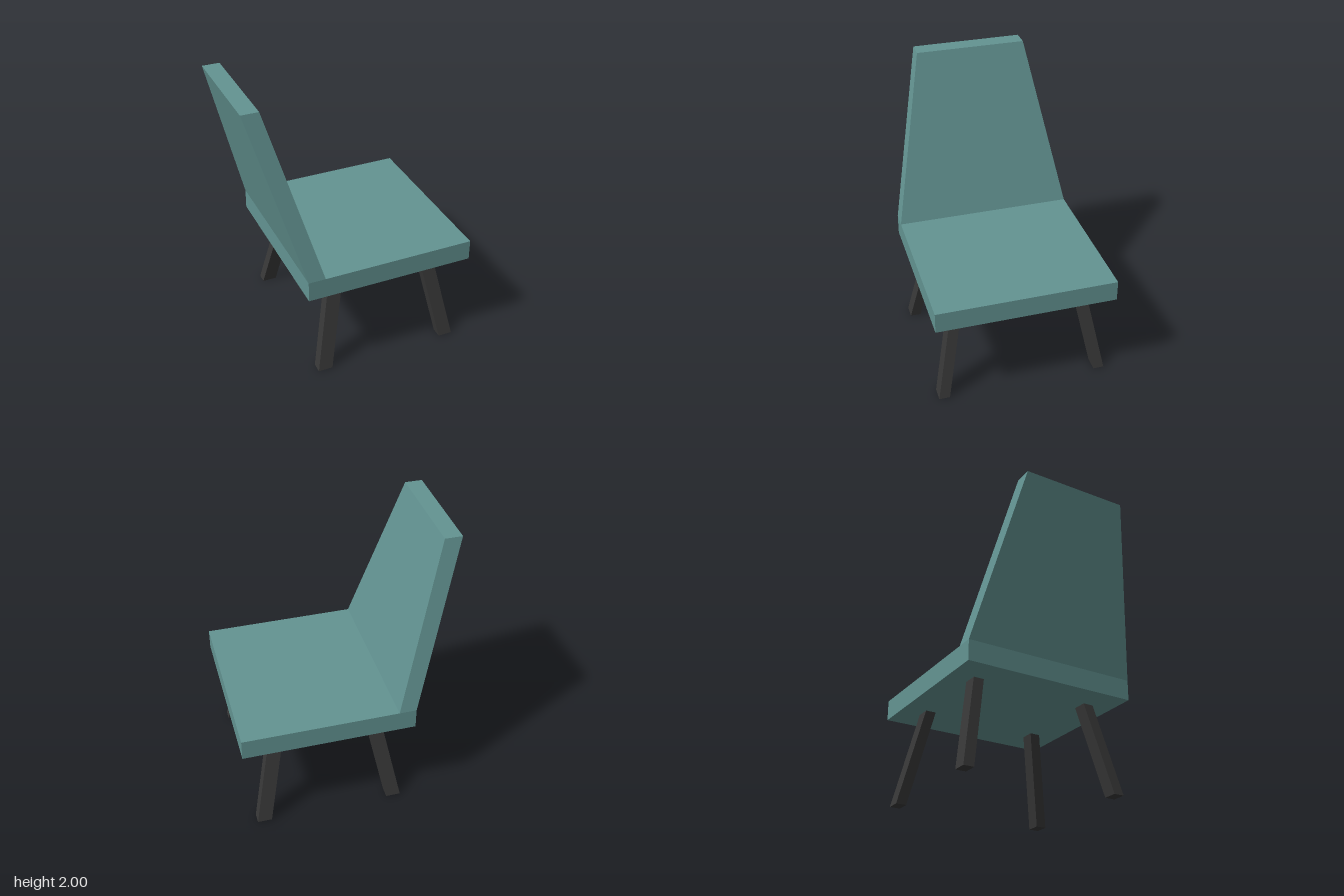
import * as THREE from 'three';

const fabric = new THREE.MeshStandardMaterial({ color: 0x639492, flatShading: true });
const darkWood = new THREE.MeshStandardMaterial({ color: 0x383838, flatShading: true });

// Six-sided block between two horizontal rectangles, each given as { y, x: [min, max], z: [min, max] }
function block(name, material, bottom, top) {
  const geometry = new THREE.BoxGeometry(1, 1, 1);
  const p = geometry.attributes.position;
  for (let i = 0; i < p.count; i++) {
    const end = p.getY(i) > 0 ? top : bottom;
    p.setXYZ(i, end.x[p.getX(i) > 0 ? 1 : 0], end.y, end.z[p.getZ(i) > 0 ? 1 : 0]);
  }
  geometry.computeVertexNormals();
  const mesh = new THREE.Mesh(geometry, material);
  mesh.name = name;
  return mesh;
}

export function createModel() {
  const chair = new THREE.Group();
  chair.name = 'chair';
  const seatBottom = 0.667, seatTop = 0.814, halfWidth = 0.632;

  // Flat seat slab
  const seat = { x: [-0.445, 0.772], z: [-halfWidth, halfWidth] };
  chair.add(block('seat', fabric, { ...seat, y: seatBottom }, { ...seat, y: seatTop }));

  // Backrest leaning towards -x and narrowing upwards
  chair.add(block('backrest', fabric,
    { y: seatTop, x: [-0.445, -0.323], z: [-halfWidth, halfWidth] },
    { y: 2, x: [-0.772, -0.65], z: [-0.388, 0.388] }));

  // Four splayed legs
  const legs = [
    { name: 'rearLeg', foot: [-0.369, -0.265], head: [-0.236, -0.132] },
    { name: 'frontLeg', foot: [0.59, 0.692], head: [0.457, 0.559] },
  ];
  for (const { name, foot, head } of legs) {
    for (const side of [1, -1]) {
      const span = (inner, outer) => (side > 0 ? [inner, outer] : [-outer, -inner]);
      chair.add(block(name + (side > 0 ? 'A' : 'B'), darkWood,
        { y: 0, x: foot, z: span(0.533, 0.609) },
        { y: seatBottom, x: head, z: span(0.4, 0.476) }));
    }
  }
  return chair;
}
